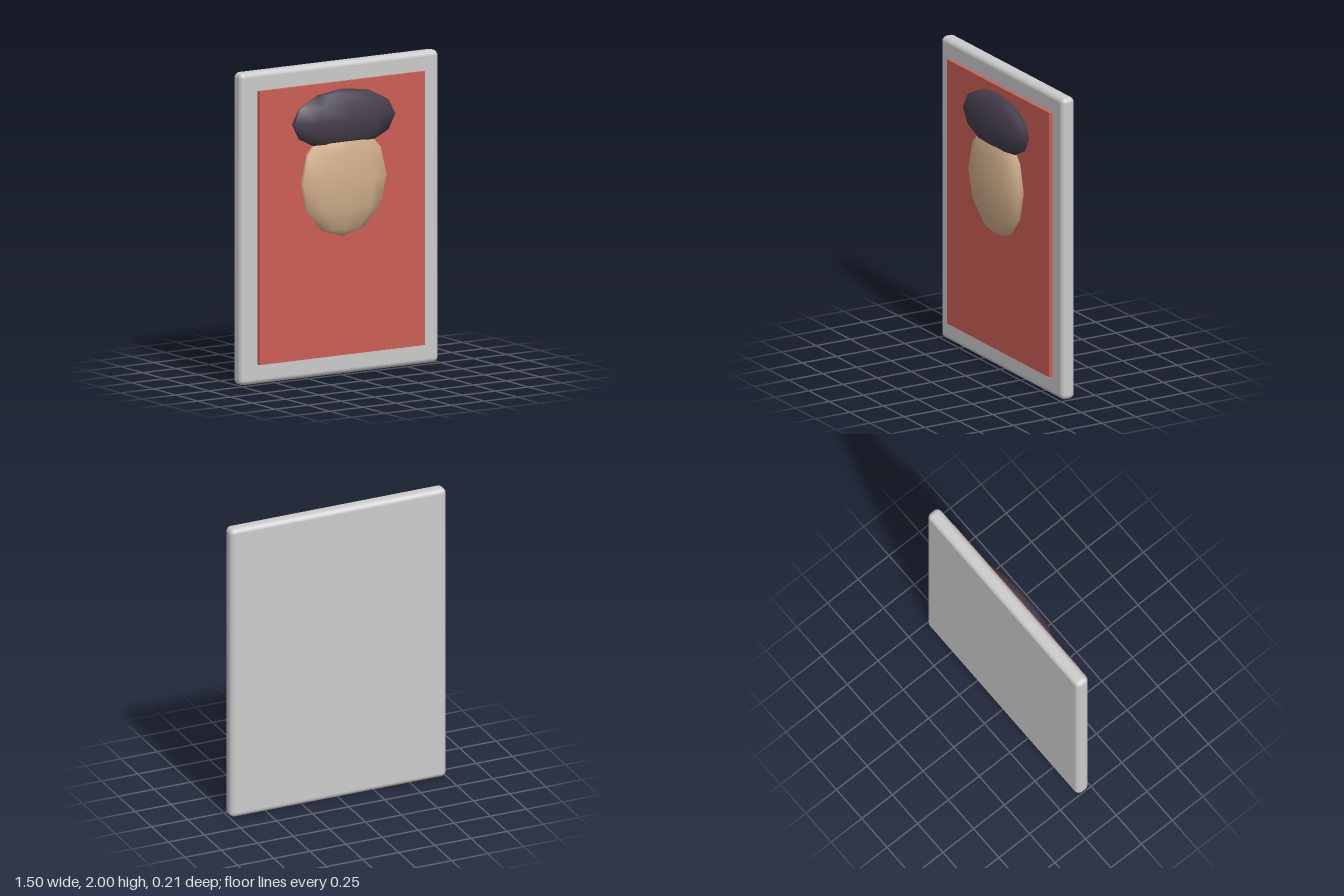
import * as THREE from 'three';
import { RoundedBoxGeometry } from 'three/addons/geometries/RoundedBoxGeometry.js';

function addPart(group, name, geometry, color, x, y, z) {
  const mesh = new THREE.Mesh(geometry, new THREE.MeshStandardMaterial({ color }));
  mesh.name = name;
  mesh.position.set(x, y, z);
  group.add(mesh);
  return mesh;
}

// Flattened low-poly ball with smooth normals and a column of vertices facing front
function flatBall(rx, ry, rz) {
  return new THREE.SphereGeometry(1, 10, 6).rotateY(Math.PI / 2).scale(rx, ry, rz);
}

export function createModel() {
  const model = new THREE.Group();
  model.name = 'portraitCard';

  // Rounded backing board
  addPart(model, 'board', new RoundedBoxGeometry(1.5, 2, 0.096, 4, 0.035), 0xcccccc, 0, 1, -0.059);

  // Raised coloured panel
  addPart(model, 'panel', new THREE.BoxGeometry(1.25, 1.75, 0.04), 0xcc5f55, 0, 1.003, -0.007);

  // Portrait in low relief
  addPart(model, 'face', flatBall(0.33, 0.365, 0.091), 0xd2b08c, 0, 1.255, 0.016);
  addPart(model, 'hair', flatBall(0.4, 0.195, 0.091), 0x453f4d, 0, 1.64, 0.016);

  return model;
}
